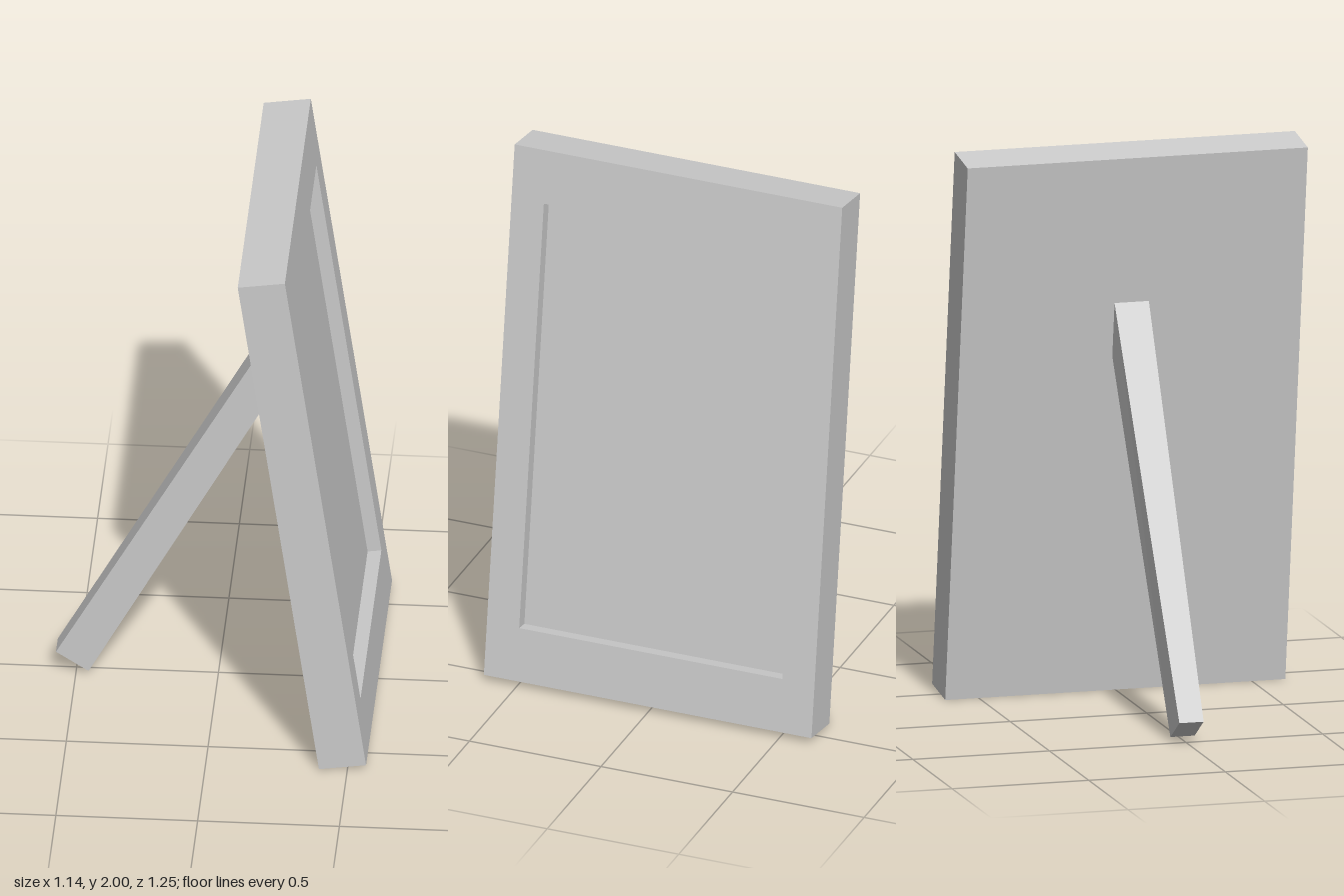
import * as THREE from 'three';

const material = new THREE.MeshStandardMaterial({ color: 0xcccccc, flatShading: true });

function part(name, geometry) {
  const mesh = new THREE.Mesh(geometry, material);
  mesh.name = name;
  return mesh;
}

function rectangle(PathType, width, height) {
  const w = width / 2, h = height / 2;
  return new PathType([[-w, -h], [w, -h], [w, h], [-w, h]].map(([x, y]) => new THREE.Vector2(x, y)));
}

// Tilted frame: a rim around a shallow recess, on a solid backing panel
function createFrame() {
  const width = 1.245, height = 1.996, thickness = 0.168, recess = 0.049;
  const frame = new THREE.Group();
  frame.name = 'pictureFrame';

  const outline = rectangle(THREE.Shape, width, height);
  outline.holes.push(rectangle(THREE.Path, 1.0, 1.597));
  const rim = new THREE.ExtrudeGeometry(outline, { depth: recess, bevelEnabled: false });
  rim.rotateY(Math.PI / 2);
  rim.translate(thickness / 2 - recess, 0, 0);
  frame.add(part('frameRim', rim));

  const backing = new THREE.BoxGeometry(thickness - recess, height, width);
  backing.translate(-recess / 2, 0, 0);
  frame.add(part('backingPanel', backing));

  frame.position.set(0.34, 1, 0);
  frame.rotation.z = 0.144;
  return frame;
}

// Support leg: a box whose ends are moved so it tapers and meets the frame's back
function createLeg() {
  const foot = { back: [-0.57, 0.087], front: [-0.455, 0.013], half: 0.0445 };
  const head = { back: [0.2, 1.456], front: [0.23, 1.261], half: 0.063 };
  const geometry = new THREE.BoxGeometry(1, 1, 1);
  const pos = geometry.attributes.position;
  for (let i = 0; i < pos.count; i++) {
    const end = pos.getY(i) > 0 ? head : foot;
    const [x, y] = pos.getX(i) > 0 ? end.front : end.back;
    pos.setXYZ(i, x, y, Math.sign(pos.getZ(i)) * end.half);
  }
  geometry.computeVertexNormals();
  return part('supportLeg', geometry);
}

export function createModel() {
  const model = new THREE.Group();
  model.name = 'standingPictureFrame';
  model.add(createFrame(), createLeg());
  return model;
}
